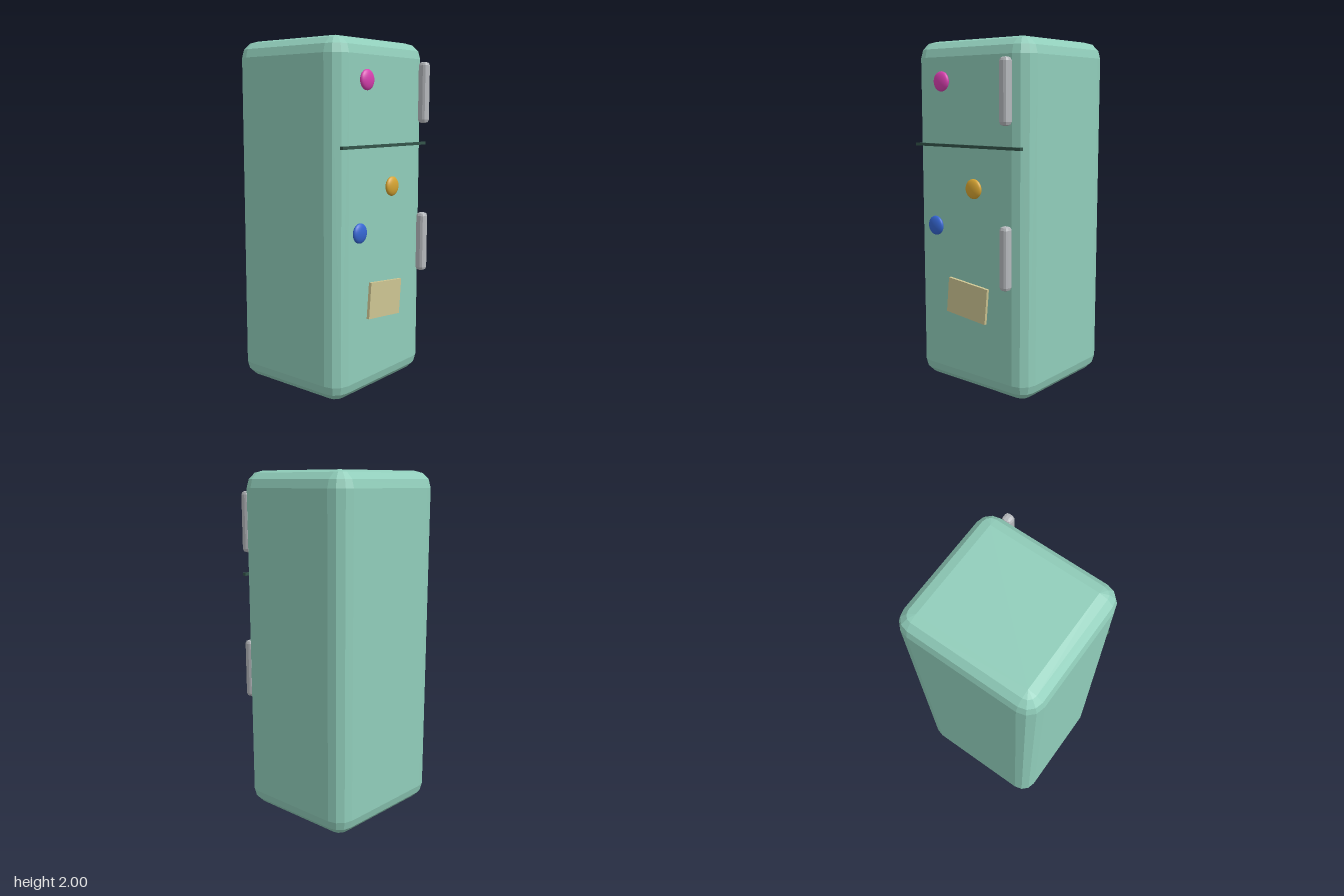
import * as THREE from 'three';
import { ConvexGeometry } from 'three/addons/geometries/ConvexGeometry.js';

const mat = (name, color) => {
  const m = new THREE.MeshStandardMaterial({ color });
  m.name = name;
  return m;
};

// Box with faceted rounded edges: hull of eight sphere octants
function bevelBox(w, h, d, r, segments) {
  const points = [];
  for (const sx of [-1, 1]) for (const sy of [-1, 1]) for (const sz of [-1, 1]) {
    for (let i = 0; i <= segments; i++) {
      const lat = (i / segments) * Math.PI / 2;
      const steps = i === segments ? 0 : segments;
      for (let j = 0; j <= steps; j++) {
        const lon = (j / segments) * Math.PI / 2;
        points.push(new THREE.Vector3(
          sx * (w / 2 - r + r * Math.cos(lat) * Math.cos(lon)),
          sy * (h / 2 - r + r * Math.sin(lat)),
          sz * (d / 2 - r + r * Math.cos(lat) * Math.sin(lon))));
      }
    }
  }
  return new ConvexGeometry(points);
}

export function createModel() {
  const group = new THREE.Group();
  group.name = 'refrigerator';
  const mint = mat('mint enamel', 0x90cdba);
  const dark = mat('dark green seal', 0x33544a);
  const metal = mat('light grey metal', 0xb5b8bc);
  const paper = mat('note paper', 0xcdc592);

  const add = (name, geometry, material, x, y, z) => {
    const mesh = new THREE.Mesh(geometry, material);
    mesh.name = name;
    mesh.position.set(x, y, z);
    group.add(mesh);
    return mesh;
  };

  // Cabinet and door gap
  add('cabinet', bevelBox(0.824, 2, 0.773, 0.095, 3), mint, 0, 1, -0.04);
  add('doorSeam', new THREE.BoxGeometry(0.777, 0.016, 0.023), dark, 0, 1.413, 0.355);

  // Door handles
  const handle = bevelBox(0.058, 0.352, 0.058, 0.02, 2);
  add('upperHandle', handle, metal, 0.315, 1.71, 0.396);
  add('lowerHandle', handle, metal, 0.315, 0.828, 0.396);

  // Round magnets
  const magnet = new THREE.SphereGeometry(0.056, 24, 16).scale(1, 1, 0.39);
  add('pinkMagnet', magnet, mat('pink', 0xd840b0), -0.18, 1.77, 0.36);
  add('yellowMagnet', magnet, mat('yellow', 0xd6a432), 0.057, 1.18, 0.36);
  add('blueMagnet', magnet, mat('blue', 0x3566d2), -0.237, 0.945, 0.36);

  // Tilted note
  const note = add('note', new THREE.BoxGeometry(0.292, 0.207, 0.018), paper, 0, 0.533, 0.355);
  note.rotation.z = -0.095;

  return group;
}
